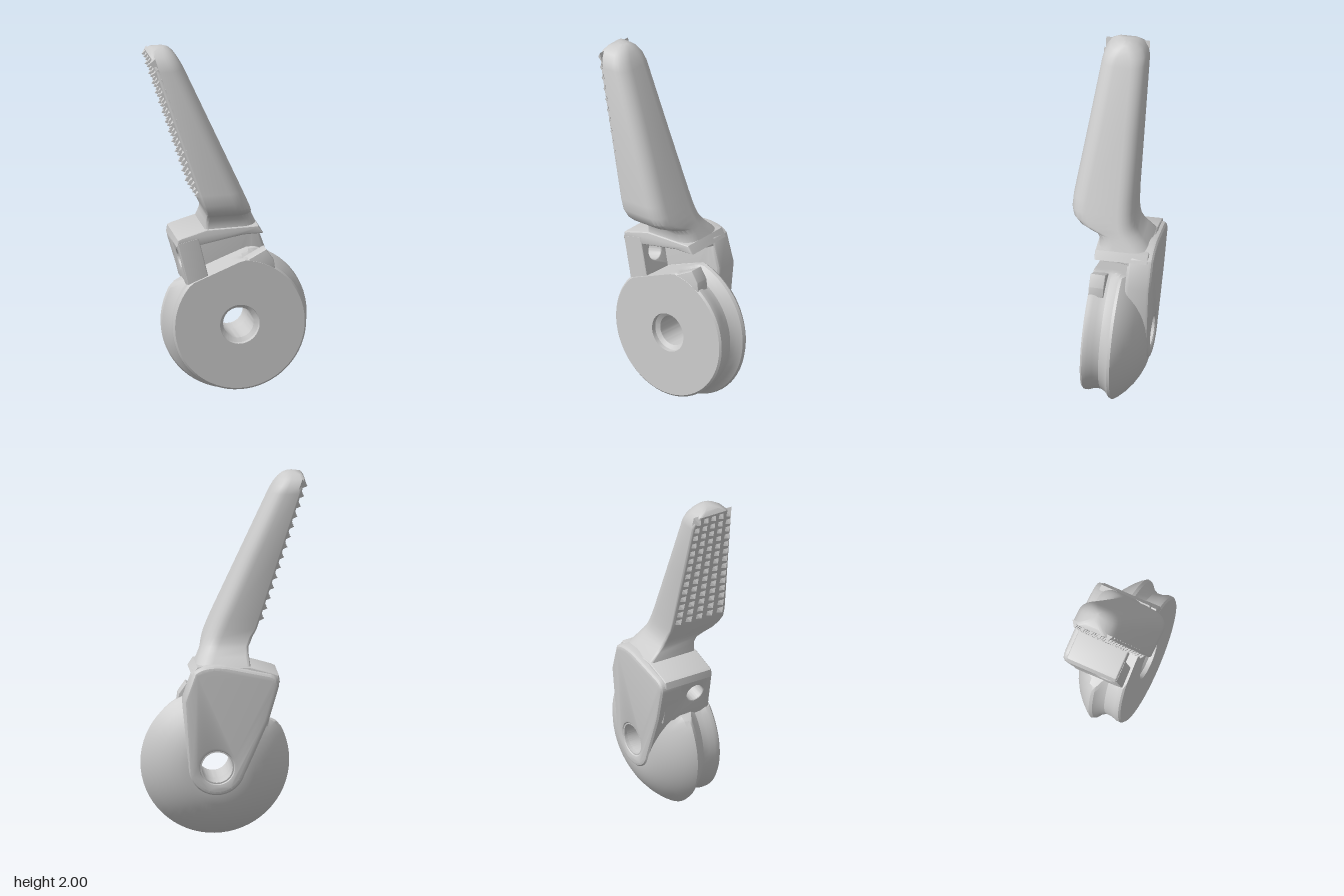
import * as THREE from 'three';
import { toCreasedNormals } from 'three/addons/utils/BufferGeometryUtils.js';

const grey = new THREE.MeshStandardMaterial({ color: 0xcccccc });
const faceted = new THREE.MeshStandardMaterial({ color: 0xcccccc, flatShading: true });

function part(name, geometry, material = grey) {
  const mesh = new THREE.Mesh(geometry, material);
  mesh.name = name;
  return mesh;
}

// Slab from an outline in the xy plane, filling z0..z1 including its bevel
function slab(shape, z0, z1, bevel) {
  const g = new THREE.ExtrudeGeometry(shape, {
    depth: z1 - z0 - 2 * bevel, bevelEnabled: bevel > 0, bevelSize: bevel, bevelOffset: -bevel,
    bevelThickness: bevel, bevelSegments: 3, curveSegments: 24,
  });
  g.translate(0, 0, z0 + bevel);
  return toCreasedNormals(g, 0.5);
}

const polygon = (pts) => new THREE.Shape(pts.map(([x, y]) => new THREE.Vector2(x, y)));

function circleHole(shape, x, y, r) {
  shape.holes.push(new THREE.Path().absarc(x, y, r, 0, Math.PI * 2, true));
}

// Loft through rounded rectangles [y, x0, x1, z0, z1], tight corners on the -x side
function loft(sections, tightR, wideR) {
  const steps = 6, n = 4 * (steps + 1), pos = [], idx = [];
  for (const [y, x0, x1, z0, z1] of sections) {
    const limit = Math.min(x1 - x0, z1 - z0) * 0.49;
    for (let q = 0; q < 4; q++) {
      const right = q === 0 || q === 3, front = q < 2;
      const r = Math.min(right ? wideR : tightR, limit);
      for (let i = 0; i <= steps; i++) {
        const a = (q + i / steps) * Math.PI / 2;
        pos.push((right ? x1 - r : x0 + r) + r * Math.cos(a), y,
          (front ? z1 - r : z0 + r) + r * Math.sin(a));
      }
    }
  }
  for (let s = 0; s < sections.length - 1; s++) {
    for (let j = 0; j < n; j++) {
      const a = s * n + j, b = s * n + (j + 1) % n;
      idx.push(a, a + n, b, b, a + n, b + n);
    }
  }
  const top = (sections.length - 1) * n;
  for (let j = 1; j < n - 1; j++) {
    idx.push(0, j, j + 1);
    idx.push(top, top + j + 1, top + j);
  }
  const g = new THREE.BufferGeometry();
  g.setAttribute('position', new THREE.Float32BufferAttribute(pos, 3));
  g.setIndex(idx);
  return toCreasedNormals(g, 0.7);
}

// Grooved wheel with a domed back, a bored hub and a flat cut under the window
function wheelGeometry() {
  const profile = [
    [0.085, -0.208], [0.16, -0.205], [0.21, -0.193], [0.26, -0.172], [0.31, -0.142], [0.355, -0.105],
    [0.39, -0.068], [0.406, -0.045], [0.4, -0.028], [0.372, -0.005], [0.356, 0.025], [0.358, 0.06],
    [0.37, 0.09], [0.37, 0.115], [0.36, 0.125], [0.11, 0.125], [0.108, 0.1], [0.085, 0.085], [0.085, -0.208],
  ];
  const g = new THREE.LatheGeometry(profile.map(([r, z]) => new THREE.Vector2(r, z)), 64);
  g.rotateX(Math.PI / 2);
  const p = g.attributes.position, nx = -0.37, ny = 0.929, limit = 0.325;
  for (let i = 0; i < p.count; i++) {
    const over = p.getX(i) * nx + p.getY(i) * ny - limit;
    if (over > 0 && p.getZ(i) > -0.075) {
      p.setXY(i, p.getX(i) - over * nx, p.getY(i) - over * ny);
    }
  }
  return toCreasedNormals(g, 0.5);
}

export function createModel() {
  const model = new THREE.Group();
  model.name = 'leverWithWheel';

  // Lower assembly leans back slightly around the hub
  const hub = new THREE.Group();
  hub.name = 'wheelAssembly';
  hub.position.set(0.055, 0.408, 0);
  hub.rotation.x = -0.045;
  model.add(hub);
  hub.add(part('wheel', wheelGeometry()));

  // Back plate: rounded around the hub, widening to the shoulder
  const plate = new THREE.Shape();
  plate.absarc(0, 0, 0.16, Math.PI + 0.3, Math.PI * 2 - 0.1, false);
  plate.lineTo(0.185, 0.37);
  plate.lineTo(0.13, 0.53);
  plate.quadraticCurveTo(0.08, 0.58, -0.05, 0.565);
  plate.lineTo(-0.29, 0.515);
  plate.quadraticCurveTo(-0.345, 0.495, -0.335, 0.44);
  plate.lineTo(-0.28, 0.25);
  plate.closePath();
  circleHole(plate, 0, 0, 0.085);
  hub.add(part('backPlate', slab(plate, -0.216, -0.07, 0.025)));

  // Small lip on the wheel front, right of the window
  const lip = polygon([[-0.03, 0.32], [0.15, 0.415], [0.192, 0.355], [0.2, 0.3], [0.05, 0.2]]);
  hub.add(part('windowLip', slab(lip, 0.04, 0.124, 0.006)));

  // Side post of the window, with a cross hole
  const side = polygon([[-0.19, -0.03], [0.1, -0.03], [0.09, 0.24], [-0.19, 0.24]]);
  circleHole(side, -0.005, 0.13, 0.05);
  const post = part('windowPost', slab(side, 0, 0.122, 0.008));
  post.rotation.y = -Math.PI / 2;
  const postPivot = new THREE.Group();
  postPivot.name = 'windowPostPivot';
  postPivot.position.set(-0.11, 0.675, 0);
  postPivot.rotation.z = 0.23;
  postPivot.add(post);
  model.add(postPivot);

  // Bar over the window
  const bar = polygon([
    [-0.288, 0.865], [-0.282, 0.905], [-0.26, 0.915], [-0.12, 0.955], [0.165, 0.96], [0.195, 0.915],
    [0.08, 0.912], [-0.17, 0.865],
  ]);
  model.add(part('windowBar', slab(bar, -0.21, 0.088, 0.01)));

  // Neck and tapering handle with a domed tip
  model.add(part('handle', loft([
    [0.89, -0.13, 0.195, -0.235, -0.08],
    [0.92, -0.13, 0.185, -0.225, 0.085],
    [0.96, -0.128, 0.165, -0.2, 0.078],
    [1.0, -0.124, 0.148, -0.16, 0.08],
    [1.03, -0.122, 0.134, -0.135, 0.1],
    [1.05, -0.125, 0.126, -0.122, 0.15],
    [1.07, -0.135, 0.117, -0.114, 0.195],
    [1.1, -0.147, 0.104, -0.108, 0.228],
    [1.14, -0.17, 0.086, -0.105, 0.24],
    [1.2, -0.19, 0.06, -0.104, 0.237],
    [1.55, -0.303, -0.095, -0.11, 0.185],
    [1.89, -0.412, -0.246, -0.116, 0.136],
    [1.93, -0.425, -0.268, -0.108, 0.124],
    [1.965, -0.435, -0.292, -0.085, 0.098],
    [1.988, -0.42, -0.315, -0.052, 0.063],
    [2.0, -0.385, -0.34, -0.015, 0.025],
  ], 0.018, 0.085)));

  // Rows of pyramid teeth on the grip face
  const teeth = new THREE.Group();
  teeth.name = 'gripTeeth';
  const tooth = new THREE.ConeGeometry(Math.SQRT1_2, 1, 4, 1, false, Math.PI / 4);
  const rows = 14, columns = 5;
  for (let r = 0; r < rows; r++) {
    const t = r / (rows - 1), y = 1.2 + 0.735 * t;
    const z0 = -0.1 - 0.012 * t, z1 = 0.232 - 0.102 * t, pitch = (z1 - z0) / columns;
    for (let c = 0; c < columns; c++) {
      const m = part('tooth', tooth, faceted);
      m.scale.set(0.058, 0.042, pitch);
      m.position.set(-0.193 - 0.32 * (y - 1.2), y, z0 + pitch * (c + 0.5));
      m.rotation.z = 1.88;
      teeth.add(m);
    }
  }
  model.add(teeth);
  return model;
}
